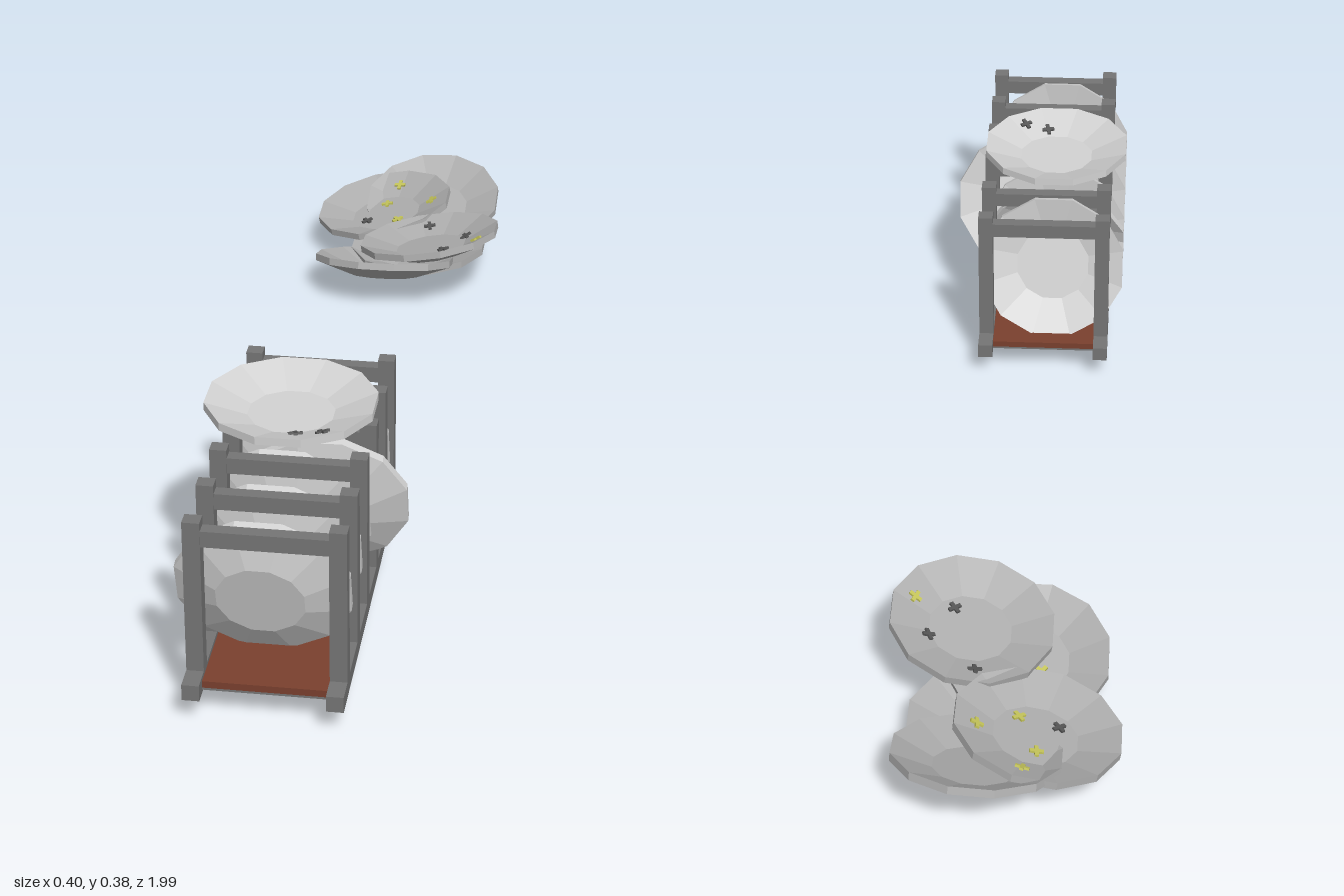
import * as THREE from 'three';

const mat = (name, color) => {
  const m = new THREE.MeshStandardMaterial({ color, flatShading: true });
  m.name = name;
  return m;
};

export function createModel() {
  const root = new THREE.Group();
  root.name = 'dishRackAndDirtyPlates';

  const metal = mat('rackGrey', 0x757575);
  const brown = mat('trayBrown', 0x7a402e);
  const clean = mat('cleanPlate', 0xd2d2d2);
  const dirty = mat('dirtyPlate', 0xaeaeae);
  const yellow = mat('foodYellow', 0xc4c45a);
  const dark = mat('crumbDark', 0x555555);
  const red = mat('crumbRed', 0xa04030);

  const box = (parent, name, material, size, pos) => {
    const m = new THREE.Mesh(new THREE.BoxGeometry(...size), material);
    m.name = name;
    m.position.set(...pos);
    parent.add(m);
    return m;
  };

  // Rack: two side rails, tray and six arched frames
  const rack = new THREE.Group();
  rack.name = 'dishRack';
  root.add(rack);
  const midX = -0.02, halfX = 0.114, bar = 0.028;
  for (const s of [-1, 1]) {
    box(rack, 'sideRail', metal, [bar, bar, 0.68], [midX + s * halfX, 0.056, 0.66]);
  }
  box(rack, 'tray', brown, [0.2, 0.012, 0.63], [midX, 0.057, 0.66]);
  box(rack, 'trayUnderside', metal, [0.2, 0.004, 0.63], [midX, 0.049, 0.66]);
  for (let i = 0; i < 6; i++) {
    const z = 0.945 - i * 0.1138;
    for (const s of [-1, 1]) {
      box(rack, 'post', metal, [bar, 0.276, 0.026], [midX + s * halfX, 0.202, z]);
    }
    box(rack, 'crossbar', metal, [0.2, bar, 0.022], [midX, 0.311, z]);
  }

  // Faceted plate, origin at the centre of the rim
  const profile = [[0, -0.033], [0.073, -0.033], [0.144, -0.007], [0.144, 0.007], [0.073, -0.02], [0, -0.02]];
  const plateGeo = new THREE.LatheGeometry(profile.map(p => new THREE.Vector2(...p)), 12);
  plateGeo.rotateY(Math.PI / 12);

  const addPlate = (name, material, pos, rot) => {
    const g = new THREE.Group();
    g.name = name;
    g.position.set(...pos);
    g.rotation.set(...rot);
    const m = new THREE.Mesh(plateGeo, material);
    m.name = 'plate';
    g.add(m);
    root.add(g);
    return g;
  };

  // Small cross-shaped crumb lying on a plate's upper face
  const addCrumb = (plate, material, x, z) => {
    const r = Math.hypot(x, z);
    const slope = r > 0.07 ? Math.atan(0.027 / 0.071) : 0;
    const y = -0.018 + Math.max(0, r - 0.07) * 0.38;
    const crumb = new THREE.Group();
    crumb.name = 'crumb';
    crumb.position.set(x, y, z);
    crumb.rotation.order = 'YXZ';
    crumb.rotation.set(-slope, Math.atan2(x, z), 0);
    box(crumb, 'crumbBar', material, [0.024, 0.004, 0.007], [0, 0, 0]);
    box(crumb, 'crumbBar', material, [0.007, 0.004, 0.024], [0, 0, 0]);
    plate.add(crumb);
  };

  // Clean plates leaning in the slots
  const lean = -1.275;
  for (const z of [0.887, 0.773, 0.66, 0.546, 0.425]) {
    addPlate('rackPlate', clean, [-0.035, 0.192, z], [lean, 0, 0]);
  }
  // One pushed out sideways, one leaning the other way, one lying on top
  addPlate('sidewaysPlate', clean, [0.024, 0.212, 0.645], [lean, 0, 0.04]);
  const reversed = addPlate('reversedPlate', clean, [-0.035, 0.176, 0.545], [-1.83, 0, 0]);
  addCrumb(reversed, red, 0.08, -0.06);
  const topPlate = addPlate('topPlate', clean, [-0.035, 0.367, 0.6], [0, 0, 0]);
  addCrumb(topPlate, dark, 0.02, 0.085);
  addCrumb(topPlate, dark, 0.065, 0.09);

  // Pile of dirty plates: position, rotation, crumbs [material, x, z]
  const pile = [
    [[0.02, 0.035, -0.735], [0, 0, 0.05], []],
    [[0.035, 0.082, -0.86], [0.32, 0, 0.06], [[yellow, -0.075, -0.04]]],
    [[-0.035, 0.063, -0.593], [-0.32, 0, 0], [[yellow, -0.025, -0.02], [dark, 0.02, 0.08]]],
    [[-0.062, 0.092, -0.8], [0.06, 0, 0.19],
      [[yellow, 0.02, -0.1], [yellow, -0.003, -0.04], [yellow, 0.1, -0.01], [yellow, 0.03, 0.04], [dark, -0.038, 0.03]]],
    [[0.06, 0.126, -0.58], [-0.13, 0, 0.17],
      [[yellow, 0.1, 0.04], [dark, -0.012, -0.1], [dark, 0.07, -0.03], [dark, 0.03, 0.04]]],
  ];
  for (const [pos, rot, crumbs] of pile) {
    const p = addPlate('dirtyPlate', dirty, pos, rot);
    for (const [m, x, z] of crumbs) addCrumb(p, m, x, z);
  }
  return root;
}
